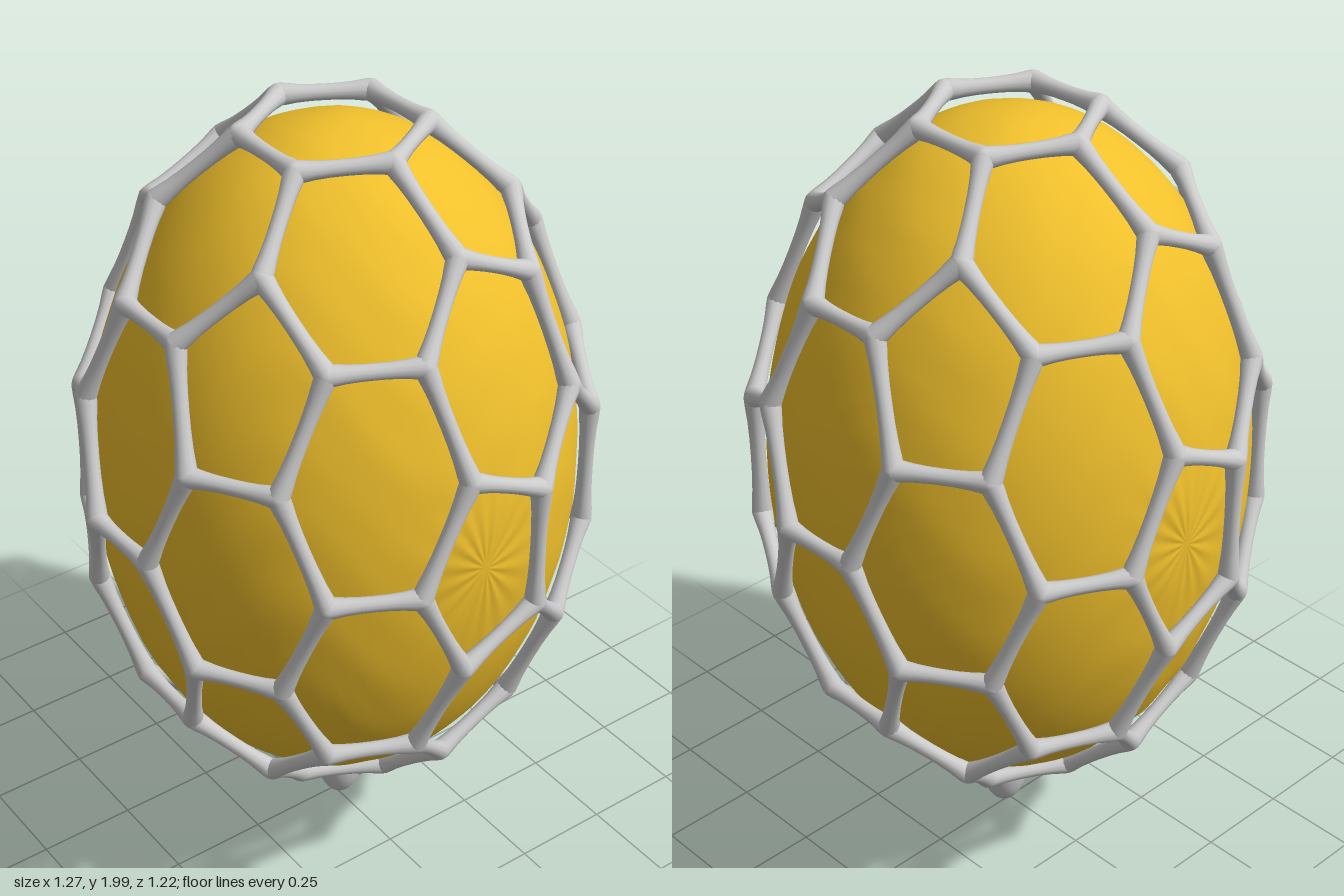
import * as THREE from 'three';
import { mergeVertices } from 'three/addons/utils/BufferGeometryUtils.js';

const CENTRE_Y = 1.1;   // middle of the egg
const R = 0.612;        // cage radius before the vertical stretch
const STRETCH = 1.5;

const cageMat = new THREE.MeshStandardMaterial({ color: 0xcccccc });
const shellMat = new THREE.MeshStandardMaterial({ color: 0xf0c02c });

// Joints of a 42-cell net (12 pentagons, 30 hexagons) on the unit sphere
function netJoints() {
  const ico = [new THREE.Vector3(0, 0, 1), new THREE.Vector3(0, 0, -1)];
  for (let i = 0; i < 10; i++) {
    const a = (i * Math.PI) / 5, z = (i % 2 ? -1 : 1) / Math.sqrt(5), r = 2 / Math.sqrt(5);
    ico.push(new THREE.Vector3(r * Math.cos(a), r * Math.sin(a), z));
  }
  const near = (a, b) => a.dot(b) > 0.4;
  const mid = (a, b) => a.clone().add(b).normalize();
  const centre = (a, b, c) => a.clone().add(b).add(c).normalize();
  const joints = [];
  for (let i = 0; i < 12; i++) for (let j = i + 1; j < 12; j++) for (let k = j + 1; k < 12; k++) {
    const [a, b, c] = [ico[i], ico[j], ico[k]];
    if (!near(a, b) || !near(b, c) || !near(a, c)) continue;
    const ab = mid(a, b), bc = mid(b, c), ca = mid(c, a);
    joints.push(centre(ab, bc, ca), centre(a, ab, ca), centre(b, ab, bc), centre(c, bc, ca));
  }
  return joints;
}

// Cage: bars that flare softly into round joints
function createCage() {
  const cage = new THREE.Group();
  cage.name = 'cage';
  const dirs = netJoints();
  const points = dirs.map(d => new THREE.Vector3(d.x * R * 1.01, d.y * R * STRETCH, d.z * R));

  const jointGeo = new THREE.SphereGeometry(0.0255, 14, 10);
  const profile = [[0.026, 0], [0.0245, 0.08], [0.021, 0.2], [0.019, 0.35], [0.0185, 0.5],
    [0.019, 0.65], [0.021, 0.8], [0.0245, 0.92], [0.026, 1]].map(p => new THREE.Vector2(...p));
  const barGeo = new THREE.LatheGeometry(profile, 12);
  const up = new THREE.Vector3(0, 1, 0);

  points.forEach((p, i) => {
    const joint = new THREE.Mesh(jointGeo, cageMat);
    joint.name = 'cageJoint';
    joint.position.copy(p);
    cage.add(joint);
    for (let j = i + 1; j < points.length; j++) {
      if (dirs[i].angleTo(dirs[j]) > 0.44) continue;
      const along = points[j].clone().sub(p);
      const bar = new THREE.Mesh(barGeo, cageMat);
      bar.name = 'cageBar';
      bar.position.copy(p);
      bar.scale.y = along.length();
      bar.quaternion.setFromUnitVectors(up, along.normalize());
      cage.add(bar);
    }
  });
  cage.position.y = CENTRE_Y;
  return cage;
}

// Shell: egg with faint ripples and pleats gathered at its front and back
function createShell() {
  let geo = new THREE.SphereGeometry(1, 96, 64);
  geo.rotateX(Math.PI / 2);
  geo.deleteAttribute('uv');
  geo.deleteAttribute('normal');
  geo = mergeVertices(geo, 1e-4);
  const pos = geo.attributes.position, v = new THREE.Vector3();
  for (let i = 0; i < pos.count; i++) {
    v.fromBufferAttribute(pos, i);
    const r = Math.hypot(v.x, v.y);
    const pleat = Math.sin(16 * Math.atan2(v.y, v.x)) * r * Math.exp(-r * r * 30);
    const ripple = Math.sin(23 * v.y + 4 * Math.sin(5 * v.x + 3 * v.z)) * Math.sin(9 * v.x - 7 * v.z + 3 * v.y);
    v.multiplyScalar(1 + 0.03 * pleat + 0.0025 * ripple);
    pos.setXYZ(i, v.x * 0.587, v.y * 0.872, v.z * 0.58);
  }
  geo.computeVertexNormals();
  const shell = new THREE.Mesh(geo, shellMat);
  shell.name = 'shell';
  shell.position.y = CENTRE_Y;
  return shell;
}

export function createModel() {
  const model = new THREE.Group();
  model.name = 'cagedEgg';
  model.add(createShell(), createCage());

  // Small drop hanging underneath
  const drop = new THREE.Mesh(new THREE.SphereGeometry(1, 32, 24), cageMat);
  drop.name = 'bottomDrop';
  drop.scale.set(0.064, 0.13, 0.064);
  drop.position.set(0.01, 0.132, 0.01);
  model.add(drop);
  return model;
}
